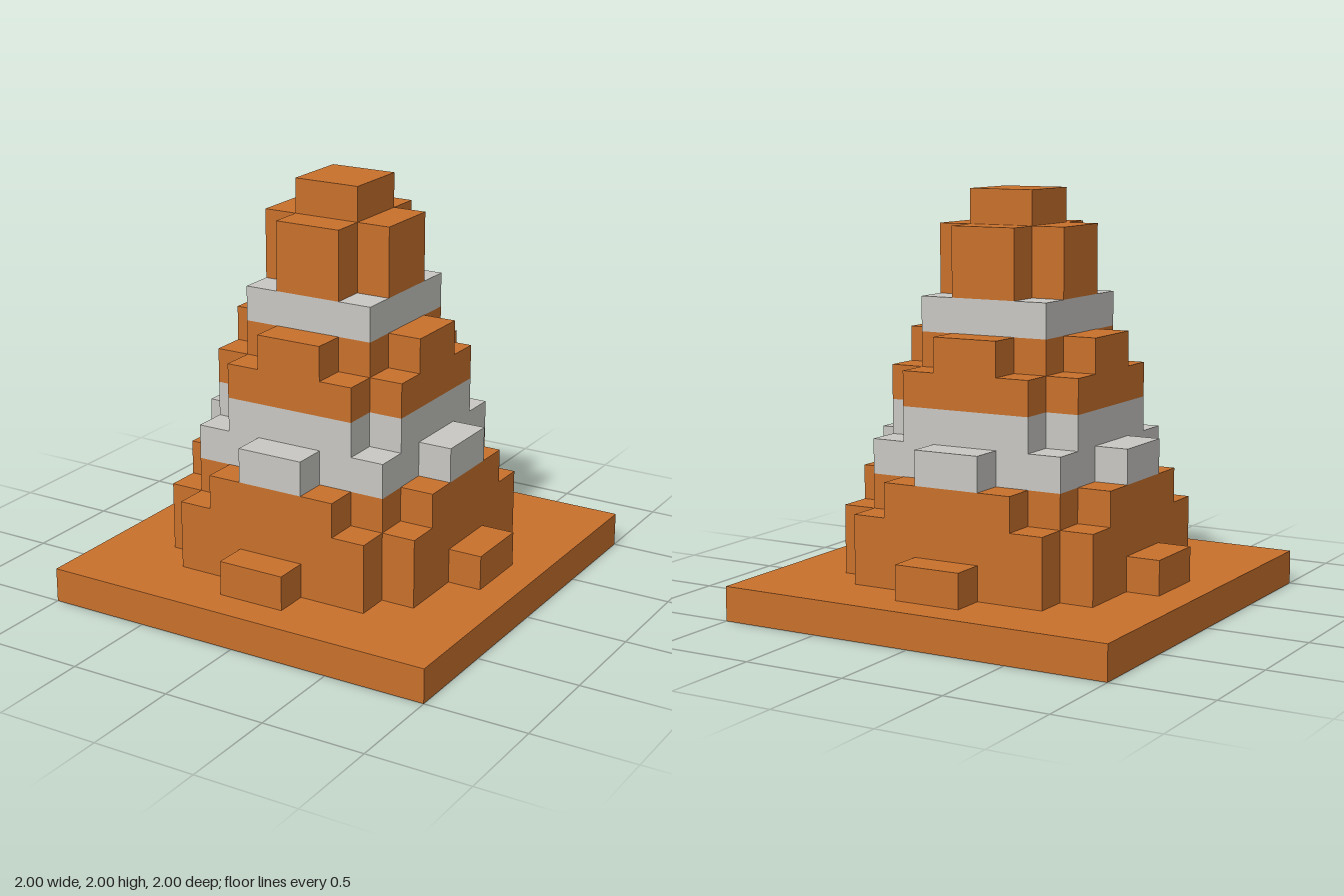
import * as THREE from 'three';

const U = 1 / 6; // block size

// Four-fold symmetric stepped outline; widths[j] is the half-width of block row j.
function steppedShape(widths) {
  const corner = [];
  widths.forEach((w, j) => {
    if (j > 0 && widths[j - 1] !== w) corner.push([w, j]);
    if (widths[j + 1] !== w) corner.push([w, j + 1]);
  });
  const points = [];
  for (let q = 0; q < 4; q++) {
    for (const [a, b] of corner) {
      let x = a, y = b;
      for (let k = 0; k < q; k++) [x, y] = [-y, x];
      points.push(new THREE.Vector2(x * U, y * U));
    }
  }
  return new THREE.Shape(points);
}

export function createModel() {
  const orange = new THREE.MeshStandardMaterial({ color: 0xc8702c });
  orange.name = 'orange';
  const lightGrey = new THREE.MeshStandardMaterial({ color: 0xc8c7c3 });
  lightGrey.name = 'lightGrey';

  // name, material, height in blocks, row half-widths (bottom to top)
  const tiers = [
    ['basePlate', orange, 1, [6, 6, 6, 6, 6, 6]],
    ['foot', orange, 1, [5, 4, 4, 3, 1]],
    ['lowerBody', orange, 1, [4, 4, 4, 3]],
    ['lowerBodyTop', orange, 1, [4, 4, 3, 2]],
    ['wideStripeLower', lightGrey, 1, [4, 3, 3, 1]],
    ['wideStripeUpper', lightGrey, 1, [3, 3, 2]],
    ['middleBody', orange, 1, [3, 3, 2]],
    ['middleBodyTop', orange, 1, [3, 2, 1]],
    ['narrowStripe', lightGrey, 1, [2, 2]],
    ['upperBody', orange, 2, [2, 1]],
    ['tip', orange, 1, [1]],
  ];

  const group = new THREE.Group();
  group.name = 'blockCone';
  let level = 0;
  for (const [name, material, height, widths] of tiers) {
    const geometry = new THREE.ExtrudeGeometry(steppedShape(widths), {
      depth: height * U,
      bevelEnabled: false,
    });
    geometry.rotateX(-Math.PI / 2);
    const mesh = new THREE.Mesh(geometry, material);
    mesh.name = name;
    mesh.position.y = level * U;
    group.add(mesh);
    level += height;
  }
  return group;
}
